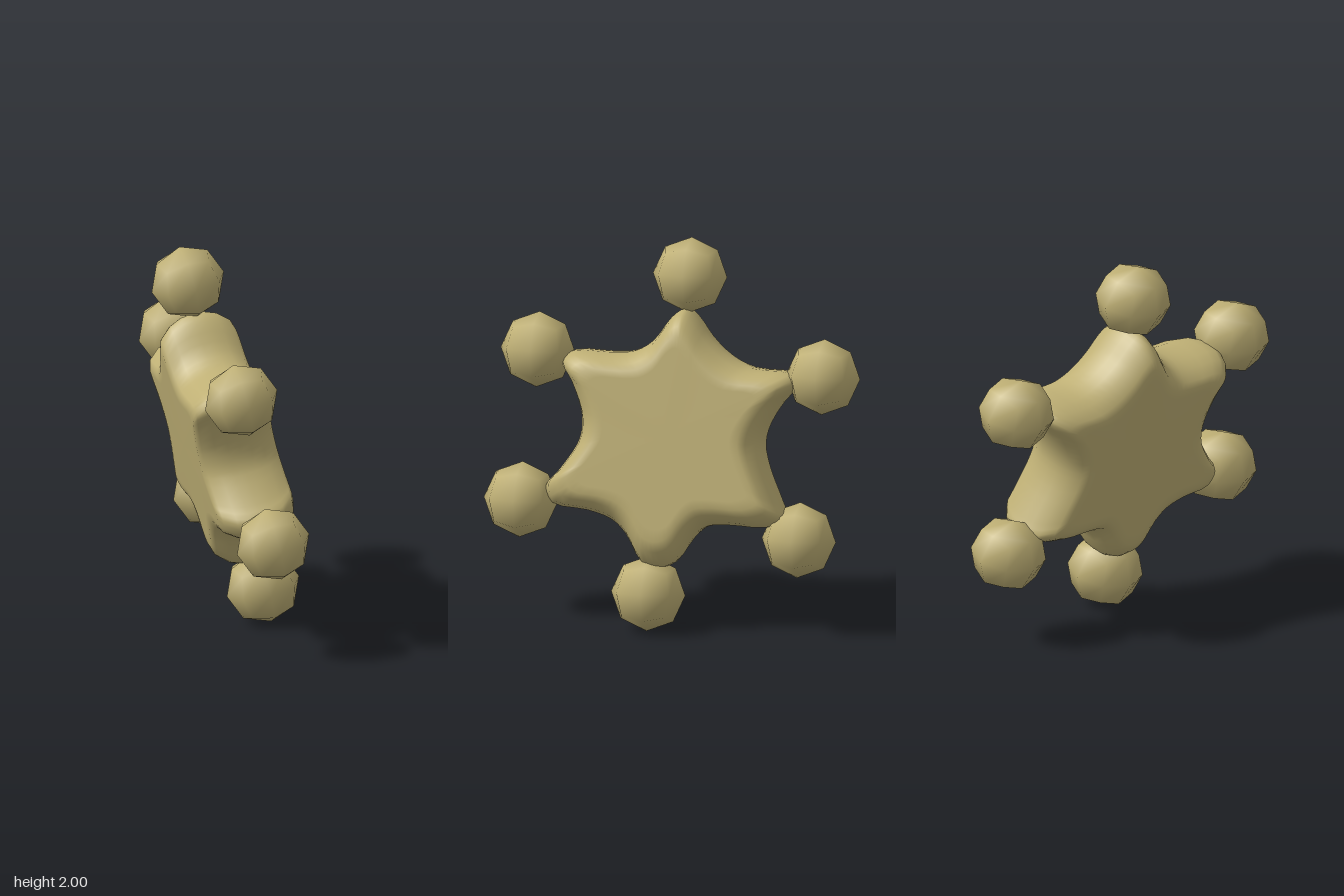
import * as THREE from 'three';

// Star plane: x = SLOPE_Y * (y - 1) + SLOPE_Z * z
const SLOPE_Y = -0.24, SLOPE_Z = 0.283;
const normal = new THREE.Vector3(1, -SLOPE_Y, -SLOPE_Z).normalize();
const onPlane = (z, y) => new THREE.Vector3(SLOPE_Y * y + SLOPE_Z * z, y, z);

// Star outline as (z, y) about the centre
const outline = [
  [0, .638], [.06, .595], [.14, .47], [.23, .41], [.35, .395],
  [.545, .39], [.595, .34], [.54, .25], [.47, .1], [.455, 0], [.47, -.08],
  [.55, -.22], [.605, -.3], [.56, -.385], [.38, -.41], [.25, -.45], [.17, -.52],
  [.08, -.65], [0, -.68], [-.08, -.65], [-.16, -.52], [-.23, -.455], [-.34, -.44],
  [-.53, -.44], [-.625, -.4], [-.59, -.32], [-.5, -.14], [-.465, -.02], [-.48, .08],
  [-.54, .2], [-.615, .305], [-.58, .345], [-.37, .36], [-.25, .41], [-.14, .5], [-.06, .595],
];

// Half of the thickness profile: [offset along normal, outline scale]
const half = [[.206, 0], [.206, .7], [.204, .79], [.187, .87], [.125, .955], [.06, .995]];
const profile = [...half, [0, 1], ...half.map(([h, s]) => [-h, s]).reverse()];

function starGeometry() {
  const n = 108;
  const curve = new THREE.CatmullRomCurve3(outline.map(([z, y]) => onPlane(z, y)), true);
  const loop = Array.from({ length: n }, (_, i) => curve.getPoint(i / n));
  const pos = [], index = [];
  profile.forEach(([h, s], j) => {
    loop.forEach((p, i) => {
      const v = p.clone().multiplyScalar(s).addScaledVector(normal, h);
      pos.push(v.x, v.y, v.z);
      if (j === profile.length - 1) return;
      const k = (i + 1) % n;
      const a = j * n + i, b = a + n, c = (j + 1) * n + k, d = j * n + k;
      if (j < profile.length - 2) index.push(a, b, c);
      else index.push(a, b, d);
      if (j > 0 && j < profile.length - 2) index.push(a, c, d);
    });
  });
  const g = new THREE.BufferGeometry();
  g.setAttribute('position', new THREE.Float32BufferAttribute(pos, 3));
  g.setIndex(index);
  g.computeVertexNormals();
  return g;
}

// Coarse ball: a subdivided cube pushed out to a sphere, smooth shaded
function ballGeometry(radius) {
  const g = new THREE.BoxGeometry(1, 1, 1, 2, 2, 2);
  const v = new THREE.Vector3();
  for (let i = 0; i < g.attributes.position.count; i++) {
    v.fromBufferAttribute(g.attributes.position, i).normalize();
    g.attributes.normal.setXYZ(i, v.x, v.y, v.z);
    g.attributes.position.setXYZ(i, v.x * radius, v.y * radius, v.z * radius);
  }
  return g;
}

export function createModel() {
  const model = new THREE.Group();
  model.name = 'starWithBalls';
  const material = new THREE.MeshStandardMaterial({ color: 0xbfb075 });

  // Puffy six-pointed star
  const star = new THREE.Mesh(starGeometry(), material);
  star.name = 'starBody';
  star.position.set(-.016, 1, 0);
  model.add(star);

  // Balls floating off each point, aligned with the star
  const up = new THREE.Vector3(0, 1, 0).projectOnPlane(normal).normalize();
  const side = new THREE.Vector3().crossVectors(normal, up);
  const basis = new THREE.Matrix4().makeBasis(normal, up, side);
  const geometry = ballGeometry(.196);
  const balls = {
    topBall: [-.19, 1.81, -.005],
    upperFrontBall: [.12, 1.387, .72],
    lowerFrontBall: [.285, .62, .73],
    bottomBall: [.2, .192, .03],
    lowerBackBall: [-.11, .5, -.685],
    upperBackBall: [-.29, 1.338, -.73],
  };
  for (const [name, p] of Object.entries(balls)) {
    const ball = new THREE.Mesh(geometry, material);
    ball.name = name;
    ball.position.set(...p);
    ball.quaternion.setFromRotationMatrix(basis);
    model.add(ball);
  }
  return model;
}
